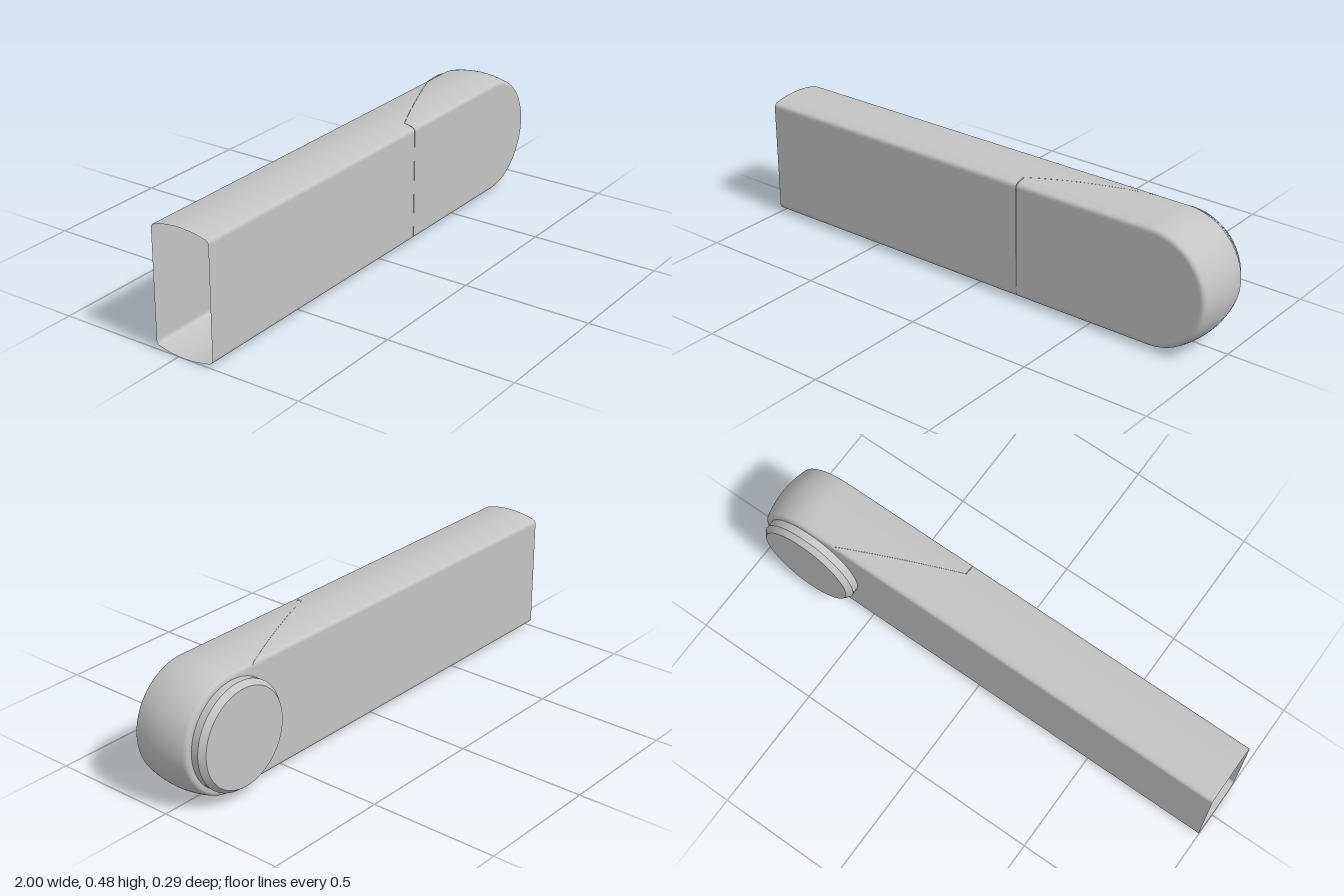
import * as THREE from 'three';

const CY = 0.241;      // height of the centre line
const CZ = 0.026;      // middle of the body's depth
const HALF = 0.121;    // half of the body's depth
const END_X = 0.759;   // centre of the rounded end
const SEAM_Z = 0.1;    // where the seam turns from straight to slanted

// Half of the cross-section, front to back, as [z, half height]
function makeProfile() {
  const crown = dz => 0.241 - 0.0125 * (dz / 0.1) ** 2;
  const fillet = new THREE.QuadraticBezierCurve(
    new THREE.Vector2(HALF, 0.208),
    new THREE.Vector2(HALF, crown(HALF) + 0.001),
    new THREE.Vector2(0.105, crown(0.105))
  ).getPoints(7).map(p => [p.x, p.y]);
  const front = [[HALF, 0.206], ...fillet];
  for (const dz of [0.09, SEAM_Z - CZ, 0.05, 0.025]) front.push([dz, crown(dz)]);
  const back = front.map(([dz, r]) => [-dz, r]).reverse();
  return [...front, [0, crown(0)], ...back].map(([dz, r]) => [CZ + dz, r]);
}

// Joint between sleeve and end piece: straight at the front, then slanted
function seamX(z) {
  return z >= SEAM_Z ? 0.19 : 0.19 + (SEAM_Z - z) * (0.47 / 0.195);
}

// Smooth surface through rows of equally many points
function surface(rows) {
  const n = rows[0].length, index = [];
  for (let i = 0; i < rows.length - 1; i++) {
    for (let j = 0; j < n - 1; j++) {
      const a = i * n + j, b = a + n;
      index.push(a, b, a + 1, b, b + 1, a + 1);
    }
  }
  const geometry = new THREE.BufferGeometry();
  geometry.setAttribute('position', new THREE.Float32BufferAttribute(rows.flat(2), 3));
  geometry.setIndex(index);
  geometry.computeVertexNormals();
  return geometry;
}

export function createModel() {
  const group = new THREE.Group();
  const grey = new THREE.MeshStandardMaterial({ color: 0xc4c4c4, side: THREE.DoubleSide });
  grey.name = 'plain grey';

  const add = (name, geometry) => {
    const mesh = new THREE.Mesh(geometry, grey);
    mesh.name = name;
    group.add(mesh);
    return mesh;
  };

  const profile = makeProfile();

  // Hollow sleeve, open at its far end
  const loop = [
    ...profile.map(([z, r]) => [z, CY + r]),
    ...profile.map(([z, r]) => [z, CY - r]).reverse()
  ];
  loop.push(loop[0]);
  add('sleeve', surface(loop.map(([z, y]) => [[-1, y, z], [seamX(z) - 0.002, y, z]])));

  // Rounded end piece: the profile is carried along the top, around the end and back
  const filled = [[CZ + HALF, 0], ...profile, [CZ - HALF, 0]];
  add('roundedEnd', surface(filled.map(([z, r]) => {
    const path = [[seamX(z), CY + r, z]];
    for (let i = 0; i <= 64; i++) {
      const a = Math.PI * (0.5 - i / 64);
      path.push([END_X + r * Math.cos(a), CY + r * Math.sin(a), z]);
    }
    path.push([seamX(z), CY - r, z]);
    return path;
  }).reverse()));

  // Wall that closes the end piece along the joint
  add('jointWall', surface(profile.map(([z, r]) => [
    [seamX(z), CY - r, z], [seamX(z), CY + r, z]
  ])));

  // Round button on the back: [name, front radius, back radius, front z, back z]
  const button = [
    ['buttonBase', 0.203, 0.203, -0.09, -0.12],
    ['buttonRim', 0.204, 0.204, -0.12, -0.125],
    ['buttonFace', 0.204, 0.187, -0.125, -0.147]
  ];
  for (const [name, front, back, z0, z1] of button) {
    const disc = new THREE.CylinderGeometry(back, front, z0 - z1, 72);
    disc.rotateX(-Math.PI / 2);
    add(name, disc).position.set(END_X - 0.003, CY, (z0 + z1) / 2);
  }

  return group;
}
